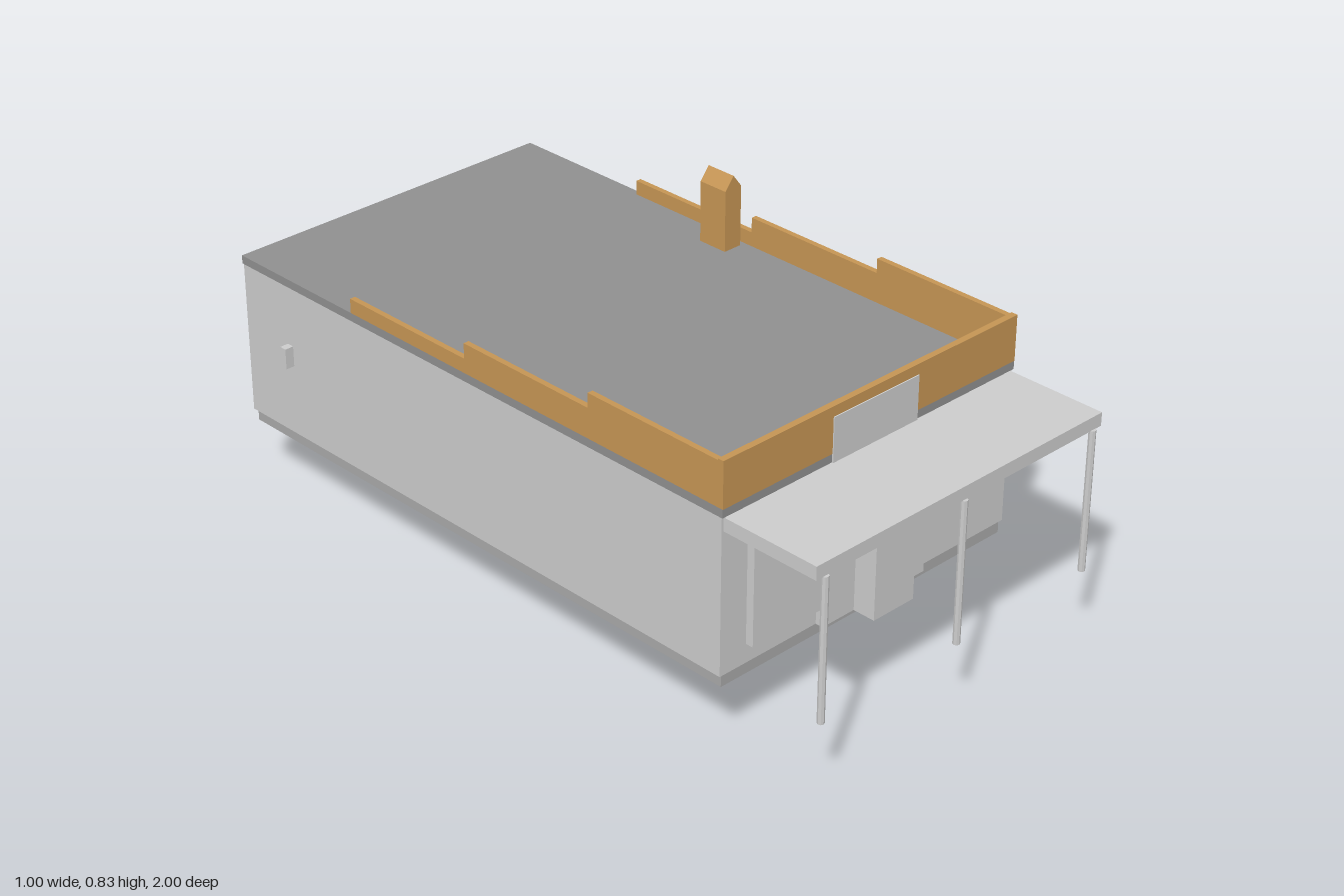
import * as THREE from 'three';

const mat = (color) => new THREE.MeshStandardMaterial({ color, flatShading: true });

export function createModel() {
  const model = new THREE.Group();
  const grey = mat(0xcccccc), dark = mat(0x8f8f8f), baseGrey = mat(0xa8a8a8), wood = mat(0xc59554);

  const add = (name, geometry, material) => {
    const mesh = new THREE.Mesh(geometry, material);
    mesh.name = name;
    model.add(mesh);
    return mesh;
  };
  // Box given by its extents on each axis
  const box = (name, x0, x1, y0, y1, z0, z1, material = grey) =>
    add(name, new THREE.BoxGeometry(x1 - x0, y1 - y0, z1 - z0), material)
      .position.set((x0 + x1) / 2, (y0 + y1) / 2, (z0 + z1) / 2);
  // Outline in x and y, extruded from z0 to z1
  const extrude = (points, z0, z1) => {
    const shape = new THREE.Shape(points.map(([x, y]) => new THREE.Vector2(x, y)));
    return new THREE.ExtrudeGeometry(shape, { depth: z1 - z0, bevelEnabled: false }).translate(0, 0, z0);
  };

  // Building shell
  box('foundation', -0.468, 0.465, 0.168, 0.2, -0.933, 0.716, baseGrey);
  box('walls', -0.476, 0.473, 0.2, 0.61, -0.94, 0.72);
  box('roof', -0.478, 0.475, 0.61, 0.632, -0.943, 0.724, dark);

  // Parapet: a front wall and two side walls stepping down to the back
  box('frontParapet', -0.478, 0.475, 0.632, 0.752, 0.708, 0.725, wood);
  const steps = [[0.708, 0.305, 0.748], [0.305, -0.11, 0.71], [-0.11, -0.521, 0.67]];
  for (const [front, back, top] of steps) {
    box('rightParapet', -0.478, -0.463, 0.632, top, back, front, wood);
    box('leftParapet', 0.46, 0.475, 0.632, top, back, front, wood);
  }
  box('signBoard', -0.138, 0.138, 0.61, 0.725, 0.705, 0.728);

  // Chimney with a gabled top
  add('chimney', extrude([[0.39, 0.632], [0.444, 0.632], [0.444, 0.795], [0.417, 0.83], [0.39, 0.795]],
    -0.219, -0.133), wood);

  // Porch canopy on three slim posts
  box('canopy', -0.47, 0.466, 0.573, 0.608, 0.72, 0.992);
  for (const x of [-0.441, -0.001, 0.437]) {
    add('canopyPost', new THREE.CylinderGeometry(0.009, 0.009, 0.375, 8), grey)
      .position.set(x, 0.3865, 0.991);
  }

  // Shop front: raised panel with stepped outline, and entrance block
  const half = [[0.17, 0.2], [0.17, 0.25], [0.395, 0.25], [0.395, 0.525],
    [0.153, 0.525], [0.153, 0.445], [0.138, 0.445], [0.138, 0.51]];
  const mirrored = half.map(([x, y]) => [-x, y]).reverse();
  add('shopFront', extrude([...half, ...mirrored], 0.715, 0.741), grey);
  box('entrance', -0.067, 0.065, 0.2, 0.458, 0.72, 0.803);

  // Wall lamps, the free-standing rear box and the rear step
  box('leftWallLamp', 0.473, 0.497, 0.393, 0.448, -0.558, -0.54);
  box('rightWallLamp', -0.5, -0.476, 0.393, 0.448, -0.78, -0.76);
  box('rearBox', 0.432, 0.5, 0.362, 0.416, -1, -0.982);
  for (const x of [-0.045, 0.003]) box('rearStep', x, x + 0.045, 0.2, 0.238, -0.947, -0.94);

  // Fittings under the floor
  box('underfloorSlab', -0.138, 0.138, 0, 0.168, -0.13, -0.09);
  box('underfloorBlock', -0.03, 0.027, 0.075, 0.168, -0.09, -0.037);
  for (const x of [-0.043, 0.027]) box('underfloorFin', x, x + 0.013, 0.075, 0.168, -0.09, -0.06, dark);
  box('underfloorRearBlock', 0.0, 0.065, 0.075, 0.168, -0.175, -0.13);
  box('underfloorRearPost', -0.045, -0.03, 0.075, 0.168, -0.16, -0.13);

  return model;
}
